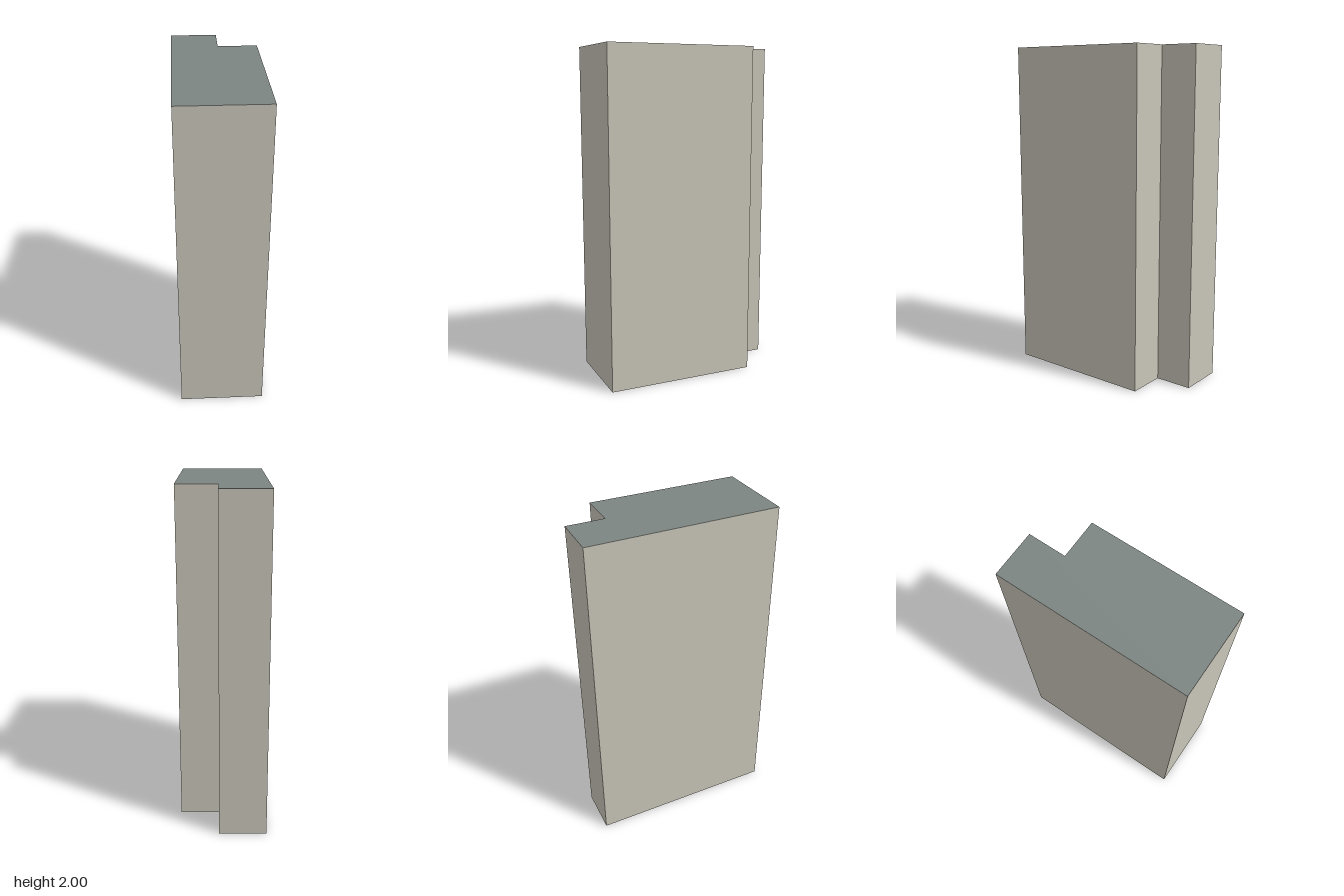
import * as THREE from 'three';

const HEIGHT = 2;

// Footprint corners as [x, z], running from the back left round the notch
const FOOTPRINT = [
  [-0.465, -0.463], [-0.21, -0.575], [-0.12, -0.37],
  [0.095, -0.465], [0.465, 0.365], [-0.005, 0.573],
];

export function createModel() {
  const wallMaterial = new THREE.MeshStandardMaterial({ color: 0xc8c5b8, side: THREE.DoubleSide });
  wallMaterial.name = 'wall stone';
  const roofMaterial = new THREE.MeshStandardMaterial({ color: 0x7c8582, side: THREE.DoubleSide });
  roofMaterial.name = 'roof grey';

  const building = new THREE.Group();
  building.name = 'building';

  // Walls: one upright plane per footprint edge, open at the bottom
  const walls = new THREE.Group();
  walls.name = 'walls';
  FOOTPRINT.forEach(([ax, az], i) => {
    const [bx, bz] = FOOTPRINT[(i + 1) % FOOTPRINT.length];
    const dx = ax - bx, dz = az - bz;
    const wall = new THREE.Mesh(new THREE.PlaneGeometry(Math.hypot(dx, dz), HEIGHT), wallMaterial);
    wall.name = `wall${i + 1}`;
    wall.position.set((ax + bx) / 2, HEIGHT / 2, (az + bz) / 2);
    wall.rotation.y = Math.atan2(-dz, dx);
    walls.add(wall);
  });
  building.add(walls);

  // Flat roof
  const outline = new THREE.Shape(FOOTPRINT.map(([x, z]) => new THREE.Vector2(x, -z)));
  const roof = new THREE.Mesh(new THREE.ShapeGeometry(outline).rotateX(-Math.PI / 2), roofMaterial);
  roof.name = 'roof';
  roof.position.y = HEIGHT;
  building.add(roof);

  return building;
}
